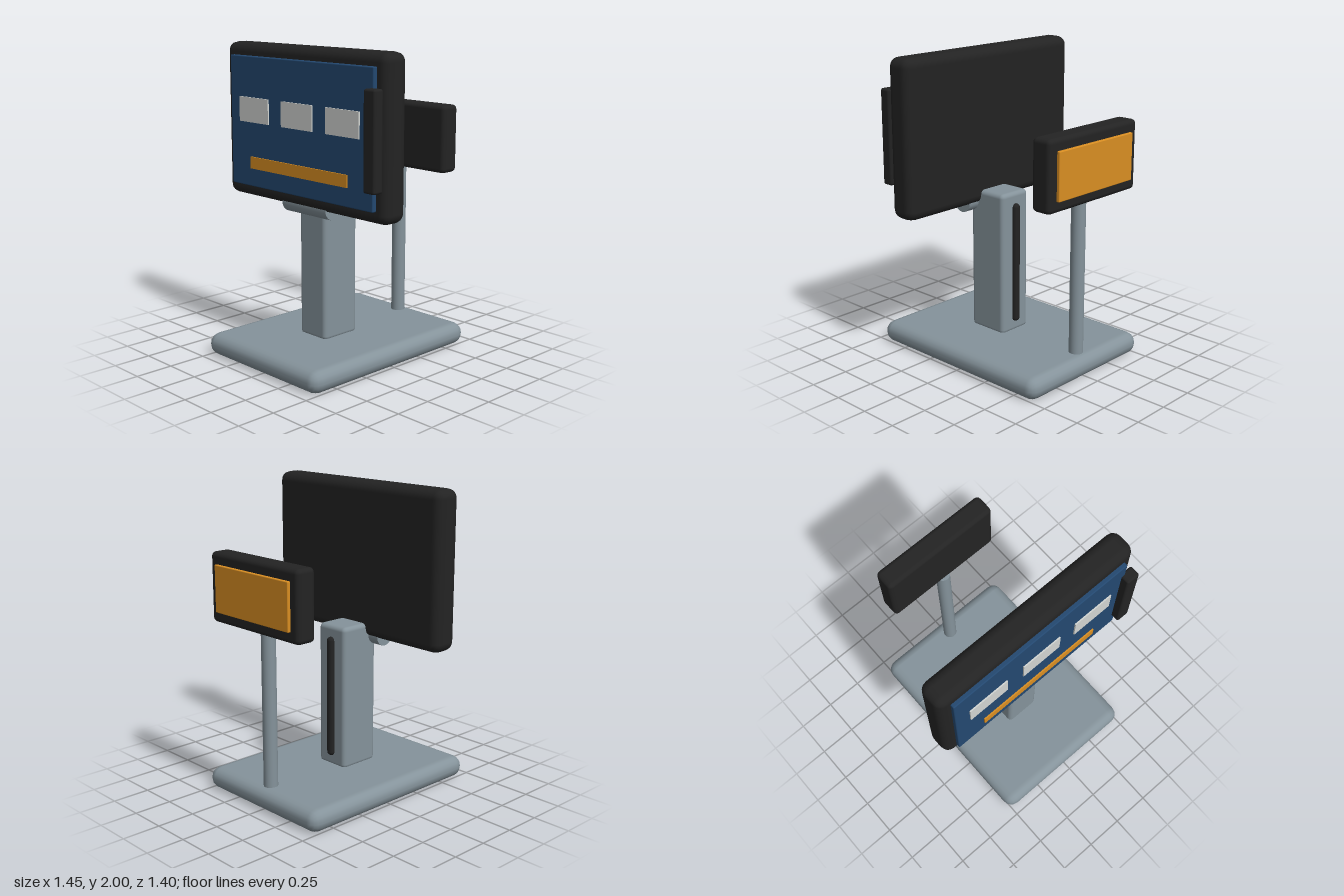
import * as THREE from 'three';
import { RoundedBoxGeometry } from 'three/addons/geometries/RoundedBoxGeometry.js';

const paint = (name, color) => {
  const m = new THREE.MeshStandardMaterial({ color });
  m.name = name;
  return m;
};

export function createModel() {
  const model = new THREE.Group();
  model.name = 'pointOfSaleTerminal';

  const grey = paint('steel grey', 0x85939b);
  const black = paint('black plastic', 0x232323);
  const blue = paint('screen blue', 0x234870);
  const white = paint('tile white', 0xd2d5d2);
  const amber = paint('amber', 0xd98e22);

  const add = (name, geometry, material, x, y, z) => {
    const mesh = new THREE.Mesh(geometry, material);
    mesh.name = name;
    mesh.position.set(x, y, z);
    model.add(mesh);
    return mesh;
  };
  // Box given by its extents on each axis; radius 0 leaves the edges sharp
  const block = (name, material, [x0, x1], [y0, y1], [z0, z1], radius = 0) => {
    const size = [x1 - x0, y1 - y0, z1 - z0];
    const geometry = radius
      ? new RoundedBoxGeometry(...size, 2, radius)
      : new THREE.BoxGeometry(...size);
    return add(name, geometry, material, (x0 + x1) / 2, (y0 + y1) / 2, (z0 + z1) / 2);
  };

  // Stand
  block('base', grey, [-0.52, 0.52], [0, 0.145], [-0.675, 0.7], 0.07);
  block('column', grey, [-0.12, 0.12], [0.13, 1.09], [-0.045, 0.24], 0.03);
  block('cableCover', black, [-0.027, 0.027], [0.205, 1.015], [-0.073, -0.02], 0.025);
  const hinge = add('hinge', new THREE.CylinderGeometry(0.07, 0.07, 0.4, 24), grey, 0, 1.012, 0.24);
  hinge.rotation.z = Math.PI / 2;

  // Main screen
  block('screenHousing', black, [-0.725, 0.725], [1, 2], [0.145, 0.328], 0.06);
  block('screenPanel', blue, [-0.645, 0.645], [1.08, 1.92], [0.32, 0.355], 0.008);
  for (const x of [-0.405, 0, 0.4]) {
    block('screenTile', white, [x - 0.141, x + 0.141], [1.5, 1.66], [0.36, 0.369]);
  }
  block('screenBar', amber, [-0.445, 0.442], [1.2, 1.277], [0.36, 0.369]);
  // Close the small gap behind the raised details
  model.children.filter((m) => /Tile|Bar/.test(m.name)).forEach((m) => { m.position.z -= 0.002; });
  block('cardReader', black, [0.615, 0.708], [1.2, 1.8], [0.335, 0.41], 0.015);

  // Customer display on its pole, facing back
  add('displayPole', new THREE.CylinderGeometry(0.046, 0.046, 1.04, 24), grey, 0, 0.657, -0.569);
  block('displayHousing', black, [-0.405, 0.405], [1.155, 1.6], [-0.685, -0.545], 0.03);
  block('displayPanel', amber, [-0.34, 0.34], [1.227, 1.527], [-0.705, -0.68], 0.006);

  return model;
}
